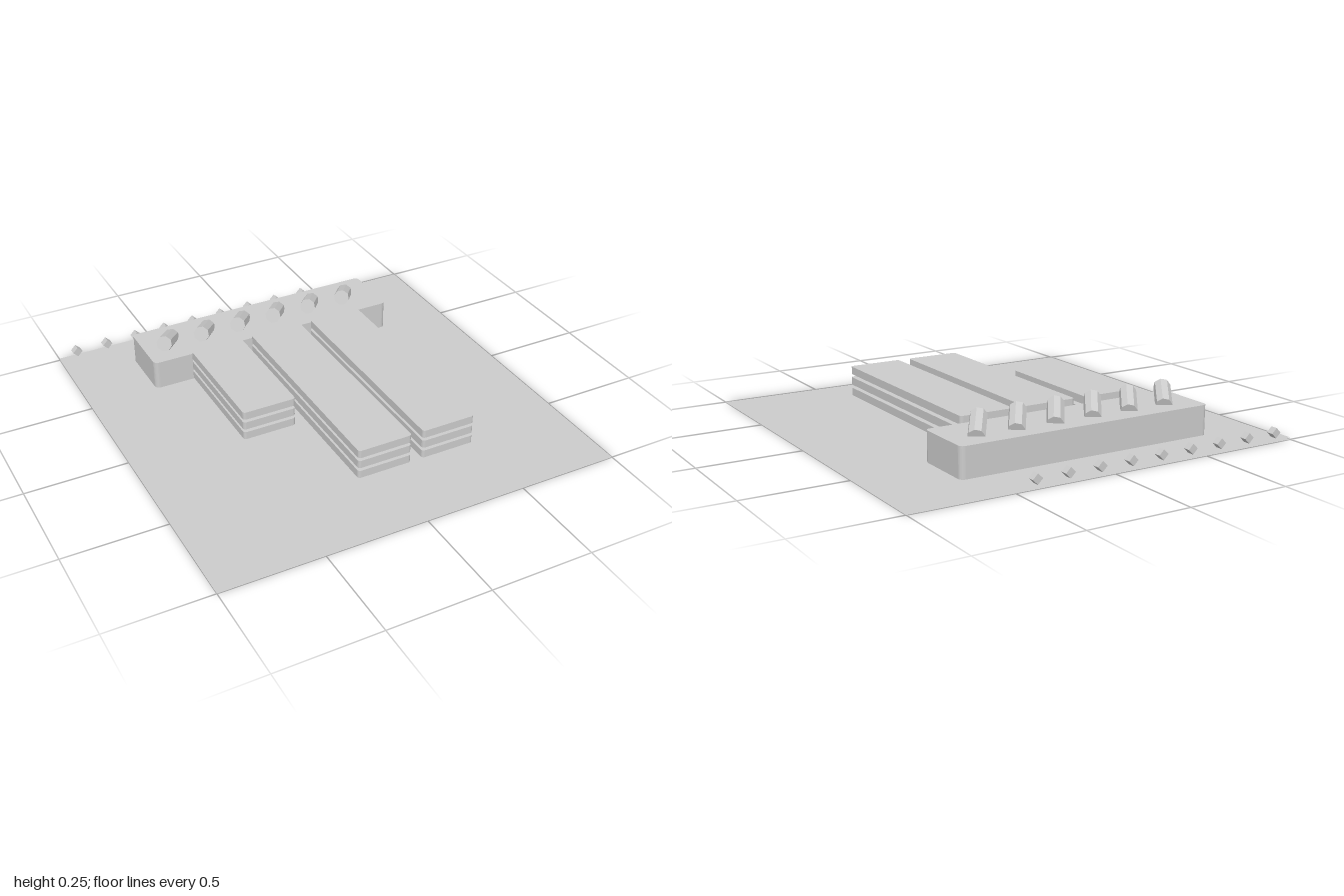
import * as THREE from 'three';

export function createModel() {
  const model = new THREE.Group();
  model.name = 'platformModel';

  const grey = new THREE.MeshStandardMaterial({ color: 0xcccccc });
  grey.name = 'grey';
  const sheetGrey = grey.clone(); // same colour, for open sheets
  sheetGrey.name = 'sheetGrey';
  sheetGrey.side = THREE.DoubleSide;

  const add = (name, geometry, material = grey) => {
    const mesh = new THREE.Mesh(geometry, material);
    mesh.name = name;
    model.add(mesh);
    return mesh;
  };
  const flat = (geometry) => {
    const g = geometry.toNonIndexed();
    g.computeVertexNormals();
    return g;
  };

  // Upright block with rounded vertical corners, given by its extents
  const slab = (name, x0, x1, y0, y1, z0, z1, r) => {
    const s = new THREE.Shape();
    const [b, t] = [-z1, -z0];
    s.moveTo(x0 + r, b);
    s.lineTo(x1 - r, b);
    s.absarc(x1 - r, b + r, r, -Math.PI / 2, 0);
    s.lineTo(x1, t - r);
    s.absarc(x1 - r, t - r, r, 0, Math.PI / 2);
    s.lineTo(x0 + r, t);
    s.absarc(x0 + r, t - r, r, Math.PI / 2, Math.PI);
    s.lineTo(x0, b + r);
    s.absarc(x0 + r, b + r, r, Math.PI, Math.PI * 1.5);
    const g = new THREE.ExtrudeGeometry(s, { depth: y1 - y0, bevelEnabled: false, curveSegments: 3 });
    g.rotateX(-Math.PI / 2);
    g.translate(0, y0, 0);
    return add(name, g);
  };

  // Ground sheet
  add('baseSheet', new THREE.PlaneGeometry(2, 2).rotateX(-Math.PI / 2), sheetGrey);

  // Long block
  slab('mainBlock', -0.668, 0.64, 0.022, 0.167, -0.797, -0.488, 0.024);

  // Three stacks of three planks
  const stacks = [[-0.477, -0.208, 0.14], [-0.15, 0.123, 0.648], [0.183, 0.455, 0.648]];
  for (const [x0, x1, z1] of stacks) {
    for (let i = 0; i < 3; i++) {
      const y = 0.045 + i * 0.055;
      slab('plank', x0, x1, y, y + 0.039, -0.473, z1, 0.014);
    }
  }

  // Six tilted pegs sunk into the block
  const front = new THREE.Vector3(-0.583, 0.217, -0.565);
  const back = new THREE.Vector3(-0.492, 0.163, -0.70);
  const axis = front.clone().sub(back);
  const pegGeometry = flat(new THREE.CylinderGeometry(0.04, 0.04, axis.length(), 8));
  for (let i = 0; i < 6; i++) {
    const peg = add('peg', pegGeometry);
    peg.position.copy(front).add(back).multiplyScalar(0.5);
    peg.position.x += i * 0.2;
    peg.quaternion.setFromUnitVectors(new THREE.Vector3(0, 1, 0), axis.clone().normalize());
  }

  // Thin strip along the back edge
  const strip = new THREE.Shape([
    new THREE.Vector2(-1, 0.925), new THREE.Vector2(0.475, 0.912),
    new THREE.Vector2(0.475, 1), new THREE.Vector2(-1, 1),
  ]);
  add('backStrip', new THREE.ShapeGeometry(strip).rotateX(-Math.PI / 2), sheetGrey).position.y = 0.01;

  // Nine small diamond studs on the strip
  const studGeometry = flat(new THREE.CylinderGeometry(0.025, 0.025, 0.035, 4).rotateX(Math.PI / 2));
  for (let i = 0; i < 9; i++) {
    add('stud', studGeometry).position.set(-0.912 + i * 0.163, 0.043, -0.9825);
  }

  return model;
}
